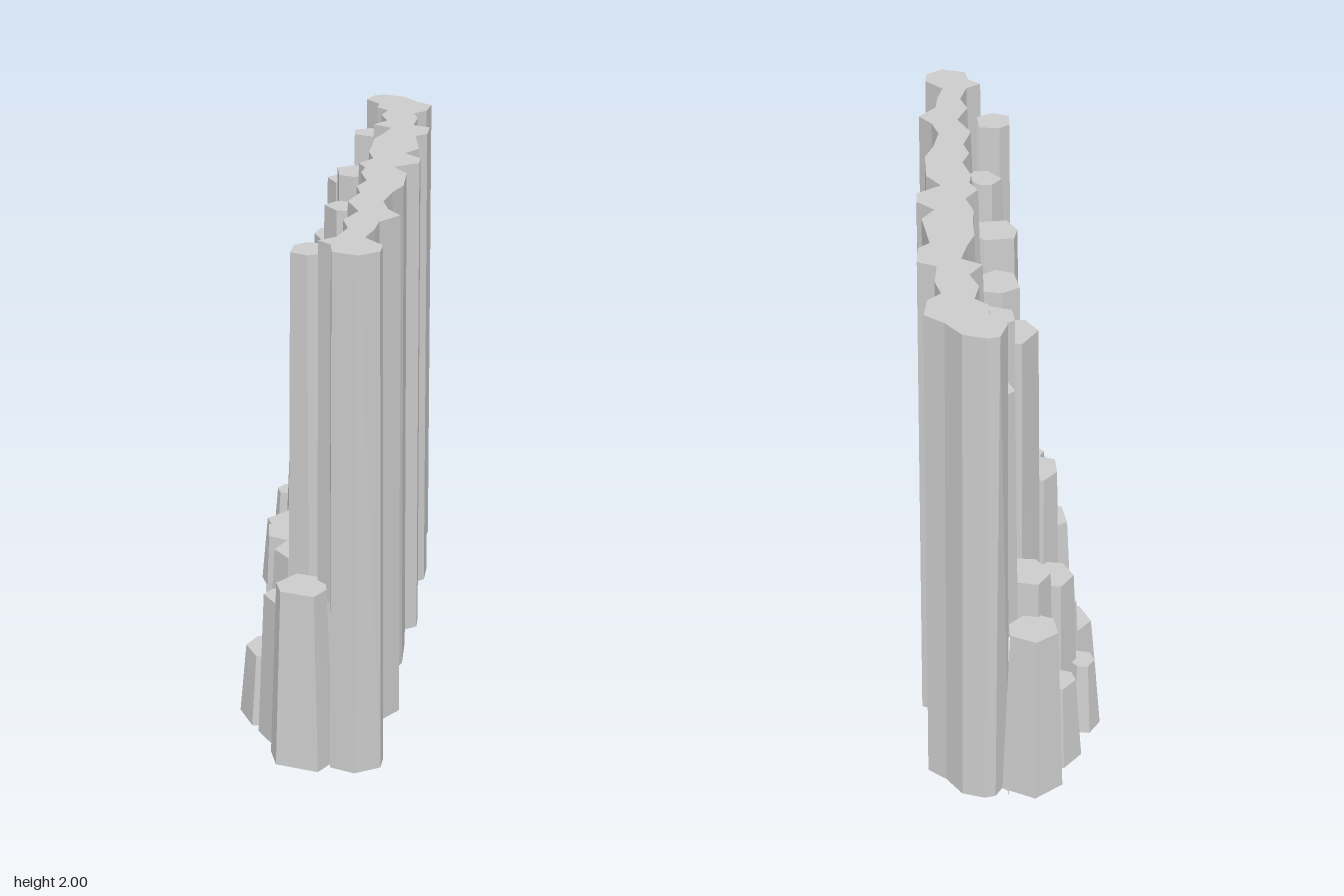
import * as THREE from 'three';

const BASE = 0.19; // level of the lower edge
const material = new THREE.MeshStandardMaterial({
  color: 0xcccccc, flatShading: true, side: THREE.DoubleSide,
});

let seed = 7;
function random() {
  seed = (seed * 16807) % 2147483647;
  return seed / 2147483647;
}

function inside(x, z, outline) {
  let hit = false;
  outline.forEach(([ax, az], i) => {
    const [bx, bz] = outline[(i + 1) % outline.length];
    if ((az > z) !== (bz > z) && x < ax + (bx - ax) * (z - az) / (bz - az)) hit = !hit;
  });
  return hit;
}

// Lowest level of the neighbouring rock just outside one edge of a block
function neighbourLevel(block, i, blocks) {
  const [ax, az] = block.bottom[i];
  const [bx, bz] = block.bottom[(i + 1) % block.bottom.length];
  const length = Math.hypot(bx - ax, bz - az);
  const out = 0.015 / length;
  const levels = [0.15, 0.5, 0.85].map((t) => {
    const x = ax + (bx - ax) * t - (bz - az) * out;
    const z = az + (bz - az) * t + (bx - ax) * out;
    const around = blocks.filter((b) => b !== block && inside(x, z, b.bottom));
    return Math.max(BASE, ...around.map((b) => b.height));
  });
  return Math.min(...levels);
}

// Hollow block: a flat cap and sides that only reach down to the rock beside
// them. Outlines of [x, z] points run anticlockwise as seen from above.
function blockMesh(block, blocks) {
  const { name, top, bottom, height } = block;
  const positions = [];
  const flat = top.map(([x, z]) => new THREE.Vector2(x, -z));
  THREE.ShapeUtils.triangulateShape(flat, []).forEach((tri) => {
    tri.forEach((k) => positions.push(top[k][0], height, top[k][1]));
  });
  top.forEach((start, i) => {
    const level = neighbourLevel(block, i, blocks);
    if (level >= height) return;
    const j = (i + 1) % top.length;
    const foot = Math.max(BASE, level - 0.06);
    const t = (height - foot) / (height - BASE);
    const low = (k) => [
      top[k][0] + (bottom[k][0] - top[k][0]) * t, foot,
      top[k][1] + (bottom[k][1] - top[k][1]) * t,
    ];
    const a = [start[0], height, start[1]];
    const b = [top[j][0], height, top[j][1]];
    positions.push(...a, ...low(i), ...low(j), ...a, ...low(j), ...b);
  });
  const geometry = new THREE.BufferGeometry();
  geometry.setAttribute('position', new THREE.Float32BufferAttribute(positions, 3));
  geometry.computeVertexNormals();
  const mesh = new THREE.Mesh(geometry, material);
  mesh.name = name;
  return mesh;
}

// Irregular six-sided column, wider at its foot
function column([x, z, radius, height]) {
  const turn = random() * 0.6;
  const top = [];
  const bottom = [];
  for (let i = 0; i < 6; i++) {
    const a = turn + (i + (random() - 0.5) * 0.4) * Math.PI / 3;
    const r = radius * (0.98 + random() * 0.16);
    const foot = r + 0.026;
    top.push([x + Math.cos(a) * r, z - Math.sin(a) * r]);
    bottom.push([x + Math.cos(a) * foot, z - Math.sin(a) * foot]);
  }
  return { name: 'column', top, bottom, height };
}

// Thin splinter hanging from the lower edge
function splinter(...corners) {
  const geometry = new THREE.BufferGeometry().setFromPoints(
    corners.map((p) => new THREE.Vector3(...p)));
  geometry.computeVertexNormals();
  const mesh = new THREE.Mesh(geometry, material);
  mesh.name = 'splinter';
  return mesh;
}

// Outline of the tall wall: its back side, then its stepped side
const backSide = [
  [-0.46, -0.94], [-0.43, -0.965], [-0.35, -0.975], [-0.27, -0.93], [-0.19, -0.91],
  [-0.16, -0.82], [-0.18, -0.76], [-0.13, -0.7], [-0.09, -0.6], [-0.02, -0.6],
  [0.02, -0.51], [0, -0.46], [0.1, -0.31], [0.09, -0.23], [0.17, -0.2],
  [0.2, -0.14], [0.15, -0.05], [0.23, 0], [0.3, 0.14], [0.31, 0.23],
  [0.34, 0.34], [0.4, 0.41], [0.47, 0.45], [0.45, 0.55], [0.48, 0.63],
  [0.5, 0.72], [0.59, 0.76], [0.615, 0.82],
];
const steppedSide = [
  [0.58, 0.89], [0.49, 0.9], [0.45, 0.84], [0.39, 0.82], [0.42, 0.76],
  [0.4, 0.66], [0.34, 0.59], [0.33, 0.48], [0.24, 0.4], [0.22, 0.29],
  [0.17, 0.23], [0.16, 0.15], [0.09, 0.07], [0.07, 0.01], [0.02, -0.03],
  [0.03, -0.11], [-0.03, -0.18], [-0.07, -0.27], [-0.11, -0.35], [-0.12, -0.43],
  [-0.14, -0.52], [-0.22, -0.53], [-0.21, -0.61], [-0.27, -0.67], [-0.29, -0.75],
  [-0.35, -0.77], [-0.37, -0.82], [-0.45, -0.86],
];

// Stepped columns: x, z, radius, height of top
const columns = [
  [-0.525, -0.81, 0.08, 0.84], [-0.55, -0.65, 0.06, 0.52],
  [-0.565, -0.45, 0.045, 0.47], [-0.45, -0.69, 0.08, 0.97],
  [-0.46, -0.49, 0.075, 0.83], [-0.32, -0.53, 0.085, 1.78],
  [-0.34, -0.38, 0.085, 1.17], [-0.4, -0.23, 0.095, 0.45],
  [-0.33, -0.69, 0.065, 1.92], [-0.38, -0.79, 0.055, 1.72],
  [-0.47, -0.37, 0.04, 0.65], [-0.2, -0.375, 0.08, 1.86],
  [-0.25, -0.3, 0.05, 1.55], [-0.185, -0.12, 0.075, 1.04],
  [-0.165, -0.23, 0.065, 1.3], [-0.09, -0.2, 0.055, 1.4],
  [-0.055, -0.06, 0.075, 1.11], [-0.21, 0, 0.045, 0.47],
  [-0.12, 0.04, 0.065, 0.88], [-0.18, 0.14, 0.08, 0.61],
  [-0.06, 0.26, 0.08, 0.61], [0.02, 0.115, 0.08, 1.78],
  [0.035, 0.24, 0.05, 1.02], [0.045, 0.35, 0.05, 0.83],
  [0.11, 0.22, 0.06, 1.92], [0.14, 0.39, 0.075, 1.39],
  [0.075, 0.475, 0.065, 0.53], [0.24, 0.5, 0.07, 1.7],
  [0.12, 0.69, 0.092, 0.45], [0.28, 0.69, 0.07, 1.92],
  [0.21, 0.59, 0.055, 0.72], [0.23, 0.79, 0.065, 0.72],
  [0.36, 0.88, 0.088, 0.83],
];

export function createModel() {
  const model = new THREE.Group();
  model.name = 'columnCliff';

  // Foot of the wall spreads: a little behind, more under the columns
  const backFoot = backSide.map(([x, z]) => [x + 0.01, z - 0.005]);
  const steppedFoot = steppedSide.map(([x, z]) => {
    const s = Math.abs(z) < 0.7 ? 0.05 : 0.01;
    return [x - s, z + s * 0.4];
  });
  const wall = {
    name: 'wall',
    top: [...backSide, ...steppedSide].reverse(),
    bottom: [...backFoot, ...steppedFoot].reverse(),
    height: 2,
  };
  const blocks = [wall, ...columns.map(column)];
  blocks.forEach((block) => model.add(blockMesh(block, blocks)));

  model.add(splinter([-0.47, BASE, -0.89], [-0.445, BASE, -0.83], [-0.45, 0.09, -0.83]));
  model.add(splinter([0.315, BASE, 0.56], [0.32, BASE, 0.565], [0.318, 0, 0.562]));
  return model;
}
